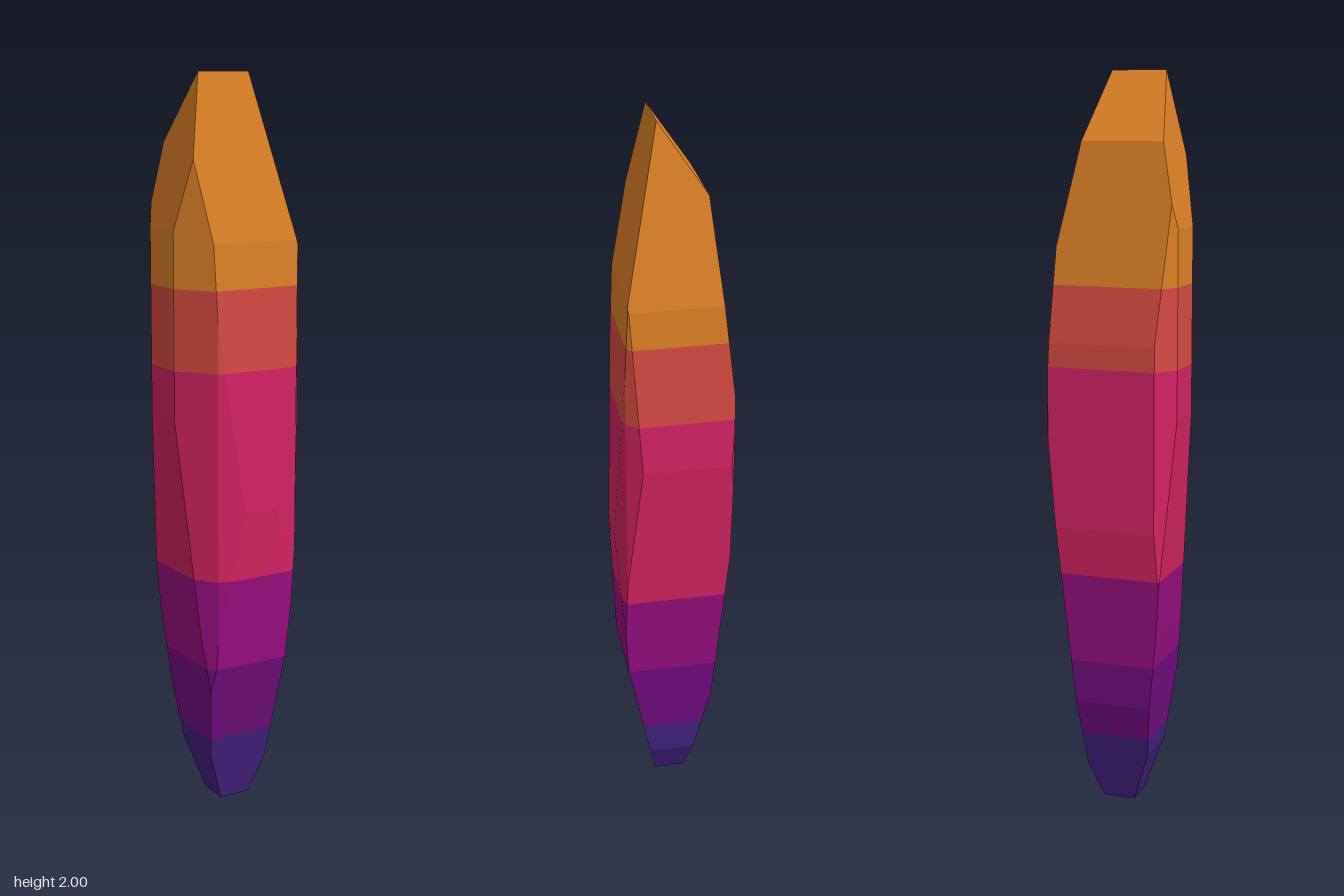
import * as THREE from 'three';

// Convex crystal shard: flat facets cut by planes, coloured in horizontal bands.

// side outlines as [distance from axis, height], bottom to top
const leftSide = [[0.05, 0], [0.09, 0.1], [0.172, 1.1], [0.15, 1.55], [0.05, 2]];
const rightSide = [[0.04, 0], [0.09, 0.15], [0.13, 0.5], [0.175, 1.1], [0.175, 1.6], [0.10, 2]];
const frontSide = [[0.04, 0], [0.125, 0.42], [0.153, 0.86], [0.12, 1.57], [-0.03, 2]];
// the front roof meets the back slope in a ridge at z = 0.03
frontSide[4][0] = 0.03;
const backSide = [[0.045, 0], [0.115, 0.3], [0.153, 0.8], [0.153, 1.3], [0.093, 1.82], [-0.03, 2]];

// vertical corner bevels as [normal x, normal z, offset]
const bevels = [
  [-0.8, 0.6, 0.158], [-0.8, -0.6, 0.197], [0.8, 0.6, 0.191], [0.8, -0.6, 0.225],
  [0.316, 0.949, 0.1673], [-0.316, 0.949, 0.1545],
];

const bands = [
  ['indigo', 0x43217f, 0, 0.2],
  ['violet', 0x720d80, 0.2, 0.42],
  ['purple', 0x980e7d, 0.42, 0.67],
  ['crimson', 0xd22362, 0.67, 1.235],
  ['coral', 0xd44a42, 1.235, 1.45],
  ['amber', 0xdc8025, 1.45, 2],
];

function outlinePlanes(outline, dx, dz) {
  const planes = [];
  for (let i = 0; i + 1 < outline.length; i++) {
    const [r0, y0] = outline[i], [r1, y1] = outline[i + 1];
    const n = new THREE.Vector3(dx * (y1 - y0), r0 - r1, dz * (y1 - y0)).normalize();
    planes.push(new THREE.Plane(n, -n.dot(new THREE.Vector3(dx * r0, y0, dz * r0))));
  }
  return planes;
}

// keep the part of a polygon behind a plane
function clip(poly, plane) {
  const out = [];
  poly.forEach((a, i) => {
    const b = poly[(i + 1) % poly.length];
    const da = plane.distanceToPoint(a), db = plane.distanceToPoint(b);
    if (da <= 1e-7) out.push(a);
    if ((da < -1e-7 && db > 1e-7) || (da > 1e-7 && db < -1e-7)) {
      out.push(a.clone().lerp(b, da / (da - db)));
    }
  });
  return out;
}

// big square lying in a plane, counter-clockwise from outside
function sheet(plane) {
  const n = plane.normal;
  const helper = Math.abs(n.y) > 0.9 ? new THREE.Vector3(1, 0, 0) : new THREE.Vector3(0, 1, 0);
  const u = helper.cross(n).normalize();
  const v = n.clone().cross(u);
  const origin = n.clone().multiplyScalar(-plane.constant);
  return [[-1, -1], [1, -1], [1, 1], [-1, 1]].map(([a, b]) =>
    origin.clone().addScaledVector(u, a * 5).addScaledVector(v, b * 5));
}

export function createModel() {
  const group = new THREE.Group();
  group.name = 'crystalShard';

  const planes = [
    ...outlinePlanes(leftSide, 1, 0), ...outlinePlanes(rightSide, -1, 0),
    ...outlinePlanes(frontSide, 0, 1), ...outlinePlanes(backSide, 0, -1),
    ...bevels.map(([x, z, d]) => {
      const n = new THREE.Vector3(x, 0, z);
      const len = n.length();
      return new THREE.Plane(n.divideScalar(len), -d / len);
    }),
    new THREE.Plane(new THREE.Vector3(0, -1, 0), 0), // flat foot
  ];

  // each facet is its plane trimmed by all the others
  const facets = planes.map((plane) =>
    planes.reduce((poly, other) => (other === plane ? poly : clip(poly, other)), sheet(plane)));

  for (const [name, color, low, high] of bands) {
    const floor = new THREE.Plane(new THREE.Vector3(0, -1, 0), low);
    const ceiling = new THREE.Plane(new THREE.Vector3(0, 1, 0), -high);
    const points = [];
    for (const facet of facets) {
      const poly = clip(clip(facet, floor), ceiling);
      for (let i = 1; i + 1 < poly.length; i++) points.push(poly[0], poly[i], poly[i + 1]);
    }
    const geometry = new THREE.BufferGeometry().setFromPoints(points);
    geometry.computeVertexNormals();
    const material = new THREE.MeshStandardMaterial({ color });
    material.name = name;
    const mesh = new THREE.Mesh(geometry, material);
    mesh.name = name + 'Band';
    group.add(mesh);
  }
  return group;
}
